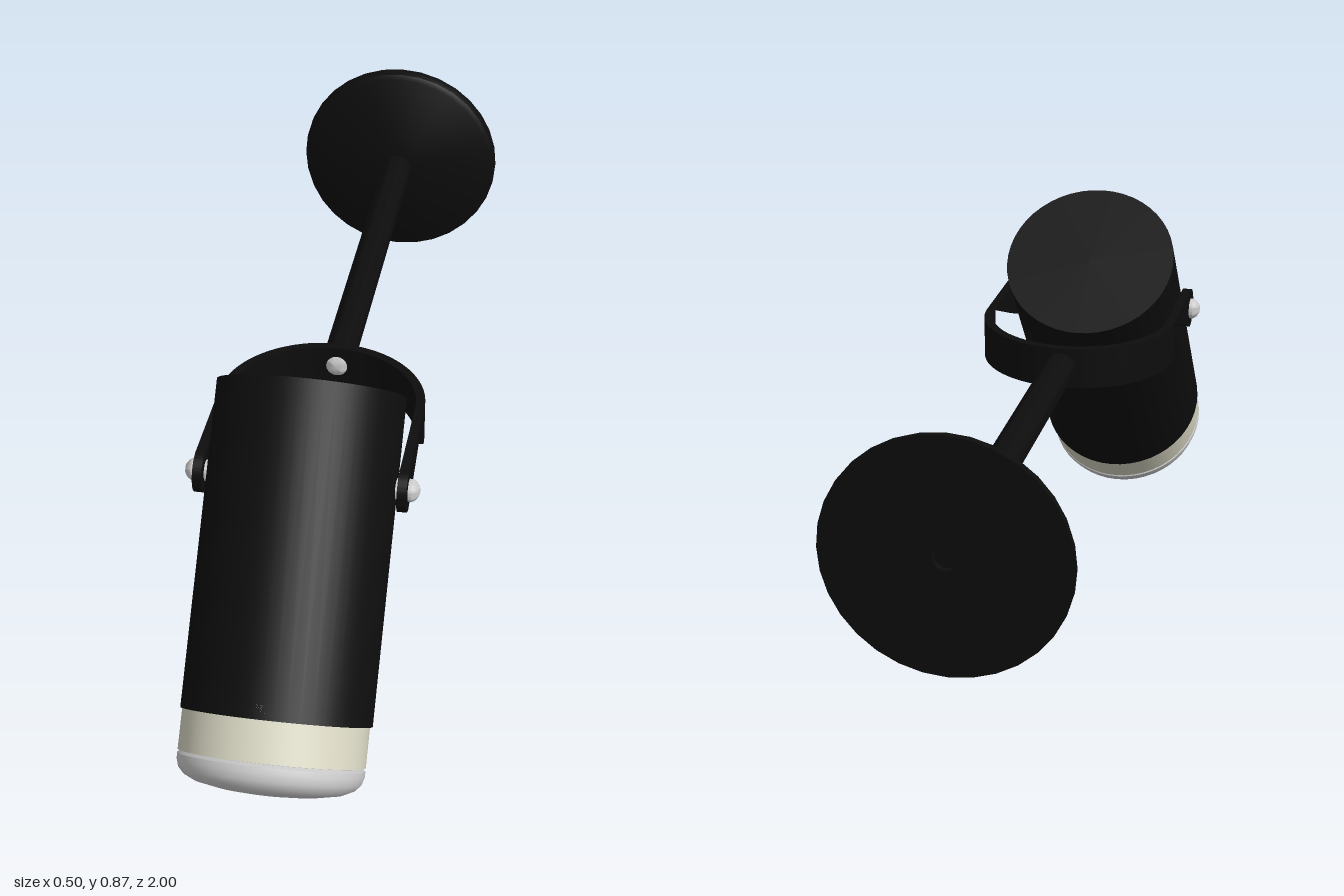
import * as THREE from 'three';
import { toCreasedNormals } from 'three/addons/utils/BufferGeometryUtils.js';

const black = new THREE.MeshStandardMaterial({ color: 0x0d0d0d });
const cream = new THREE.MeshStandardMaterial({ color: 0xd6d4c0 });
const grey = new THREE.MeshStandardMaterial({ color: 0xcccccc });

const AXIS_Y = 0.595; // height of rod, bracket and pivots
const PIVOT_Z = 0.46;
const STRAP = 0.047; // half height of the bracket strap

function part(name, geometry, material, parent) {
  const mesh = new THREE.Mesh(geometry, material);
  mesh.name = name;
  parent.add(mesh);
  return mesh;
}

// Profile of [radius, height] pairs, listed from the bottom up
function turned(profile, segments = 48) {
  const points = profile.map(([r, h]) => new THREE.Vector2(r, h));
  return toCreasedNormals(new THREE.LatheGeometry(points, segments), 0.6);
}

// Spotlight head, built along local y with its mouth at y = 0
function createHead() {
  const head = new THREE.Group();
  head.name = 'lampHead';
  part('housing', turned([[0, 0.03], [0.185, 0.03], [0.19, 0], [0.2, 0], [0.2, 0.685], [0, 0.685]]), black, head);
  const collar = part('collar', turned([[0, -0.085], [0.195, -0.085], [0.195, 0.03]]), cream, head);
  const lens = part('lens', turned([
    [0, -0.16], [0.06, -0.158], [0.11, -0.153], [0.155, -0.144], [0.178, -0.133],
    [0.19, -0.12], [0.195, -0.104], [0.195, -0.092], [0.188, -0.086], [0, -0.086],
  ]), grey, head);
  collar.position.z = lens.position.z = 0.005;
  head.rotation.x = THREE.MathUtils.degToRad(-40);
  head.position.set(0, 0.217, 0.777);
  return head;
}

// U-shaped strap: half ring at the back and two round-ended arms
function createBracket() {
  const bracket = new THREE.Group();
  bracket.name = 'bracket';
  const arc = new THREE.Shape();
  arc.absarc(0, 0, 0.225, Math.PI, Math.PI * 2, false);
  arc.absarc(0, 0, 0.205, Math.PI * 2, Math.PI, true);
  const bow = new THREE.ExtrudeGeometry(arc, { depth: STRAP * 2, bevelEnabled: false, curveSegments: 32 });
  bow.rotateX(Math.PI / 2);
  part('bracketBow', toCreasedNormals(bow, 0.6), black, bracket).position.set(0, AXIS_Y + STRAP, 0.225);

  const strap = new THREE.Shape();
  strap.moveTo(0.225, -STRAP);
  strap.absarc(PIVOT_Z, 0, STRAP, -Math.PI / 2, Math.PI / 2, false);
  strap.lineTo(0.225, STRAP);
  strap.closePath();
  const armGeometry = new THREE.ExtrudeGeometry(strap, { depth: 0.02, bevelEnabled: false, curveSegments: 16 });
  armGeometry.rotateY(-Math.PI / 2);
  const arm = toCreasedNormals(armGeometry, 0.6);

  // Pivot screw with spacer, shank and domed head
  const screw = turned([
    [0, 0.195], [0.023, 0.195], [0.023, 0.208], [0.012, 0.208], [0.012, 0.225],
    [0.024, 0.225], [0.024, 0.233], [0.019, 0.241], [0.011, 0.247], [0, 0.249],
  ], 20);
  for (const side of [1, -1]) {
    const prefix = side > 0 ? 'left' : 'right';
    part(prefix + 'BracketArm', arm, black, bracket).position.set(side > 0 ? 0.225 : -0.205, AXIS_Y, 0);
    const pivot = part(prefix + 'PivotScrew', screw, grey, bracket);
    pivot.rotation.z = -side * Math.PI / 2;
    pivot.position.set(0, AXIS_Y, PIVOT_Z);
  }

  // Screw fixing the bow to the rod
  const fixing = part('rodScrew', turned([[0.024, 0], [0.024, 0.004], [0.015, 0.01], [0, 0.013]], 20), grey, bracket);
  fixing.rotation.x = Math.PI / 2;
  fixing.position.set(0, AXIS_Y, 0.018);
  return bracket;
}

// Wall plate and rod, turned around the z axis
function createMount() {
  const mount = new THREE.Group();
  mount.name = 'wallMount';
  part('wallPlate', turned([
    [0, 0.015], [0.025, 0.015], [0.025, 0], [0.25, 0], [0.25, 0.012],
    [0.246, 0.024], [0.235, 0.032], [0.036, 0.066], [0, 0.066],
  ], 32), black, mount);
  part('rod', turned([[0.036, 0.05], [0.036, 1.003], [0, 1.003]], 32), black, mount);
  mount.rotation.x = Math.PI / 2;
  mount.position.set(0, AXIS_Y, -1);
  return mount;
}

export function createModel() {
  const model = new THREE.Group();
  model.name = 'wallSpotlight';
  model.add(createHead(), createBracket(), createMount());
  return model;
}
